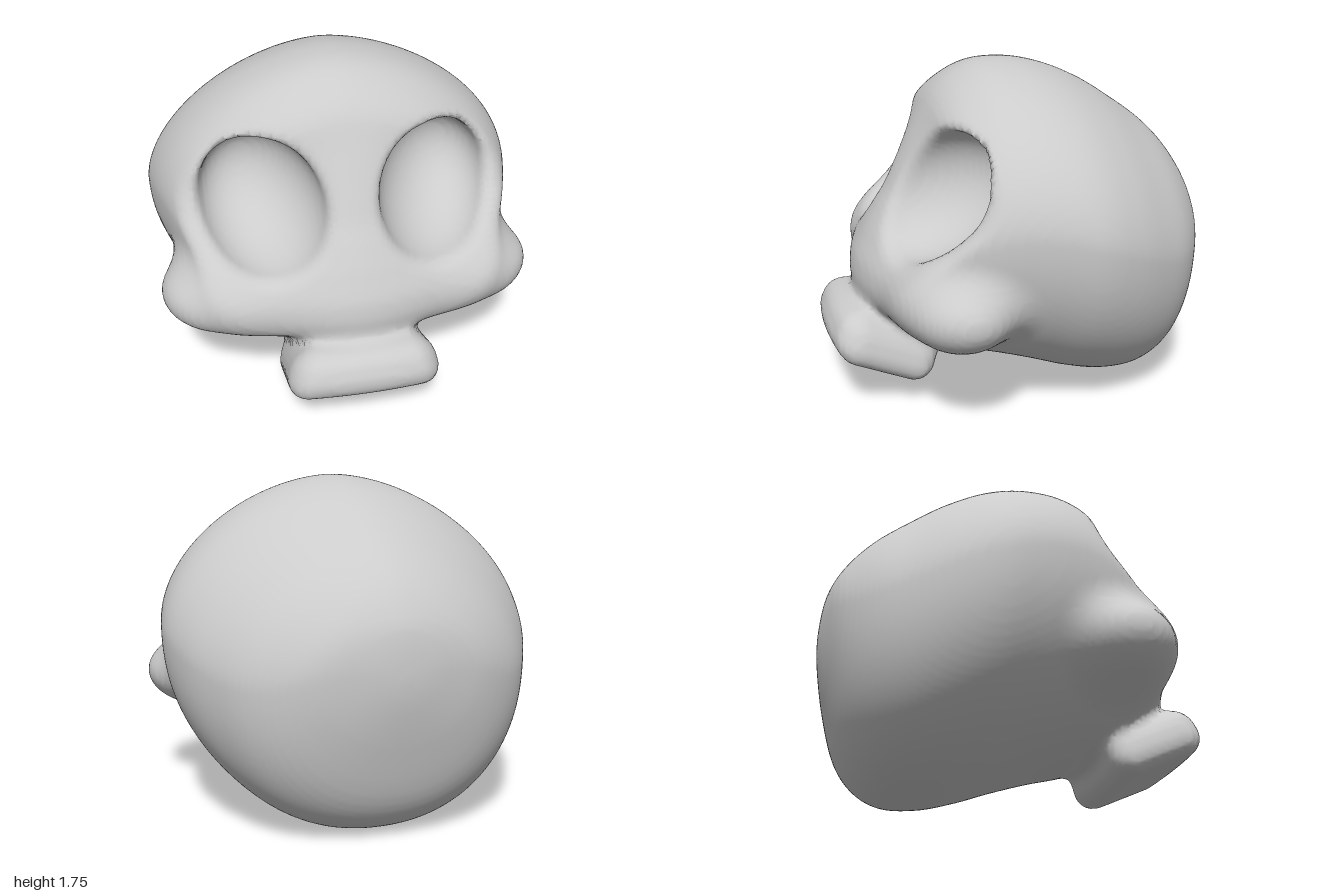
import * as THREE from 'three';

// Cranium sections, back to front: z, top, bottom, half width
const SECTIONS = [
  [-1, 0.85, 0.85, 0], [-0.98, 1.06, 0.66, 0.22], [-0.94, 1.16, 0.48, 0.41],
  [-0.86, 1.28, 0.22, 0.58], [-0.75, 1.39, 0.075, 0.715], [-0.6, 1.5, 0.005, 0.82],
  [-0.4, 1.625, 0.015, 0.92], [-0.2, 1.71, 0.07, 0.97], [0, 1.75, 0.14, 0.95],
  [0.2, 1.73, 0.2, 0.9], [0.4, 1.61, 0.25, 0.83], [0.6, 1.45, 0.32, 0.74],
  [0.8, 1.25, 0.42, 0.66], [1, 1.05, 0.5, 0.6],
].map(([z, ...rest]) => [Math.sqrt(z + 1), ...rest]); // root spacing rounds the back

// Face profiles, bottom to top: y, z on the midline, z at the outer rim
const FACE = [
  [0.15, 0.32, 0.2], [0.3, 0.5, 0.38], [0.45, 0.7, 0.58], [0.57, 0.83, 0.68],
  [0.72, 0.84, 0.7], [0.87, 0.78, 0.61], [1, 0.71, 0.47], [1.1, 0.65, 0.38],
  [1.22, 0.59, 0.33], [1.36, 0.52, 0.34], [1.46, 0.47, 0.36], [1.63, 0.39, 0.36],
  [1.8, 0.34, 0.34],
];

// Smooth interpolation of one table column
function sample(rows, key, col) {
  const n = rows.length - 1;
  if (key <= rows[0][0]) return rows[0][col];
  if (key >= rows[n][0]) return rows[n][col];
  let i = 0;
  while (rows[i + 1][0] < key) i++;
  const slope = (a, b) => (rows[b][col] - rows[a][col]) / (rows[b][0] - rows[a][0]);
  const h = rows[i + 1][0] - rows[i][0], t = (key - rows[i][0]) / h;
  const m0 = slope(Math.max(i - 1, 0), i + 1) * h;
  const m1 = slope(i, Math.min(i + 2, n)) * h;
  const t2 = t * t, t3 = t2 * t;
  return (2 * t3 - 3 * t2 + 1) * rows[i][col] + (t3 - 2 * t2 + t) * m0
    + (3 * t2 - 2 * t3) * rows[i + 1][col] + (t3 - t2) * m1;
}

// Soft union and soft intersection
function blend(a, b, k) {
  const h = Math.max(k - Math.abs(a - b), 0) / k;
  return Math.min(a, b) - h * h * k * 0.25;
}
const carve = (a, b, k) => -blend(-a, -b, k);

// Cranium: slightly peaked above its widest level, fuller below
function cranium(x, y, z) {
  const s = Math.sqrt(Math.max(z + 1, 0.0004));
  const top = sample(SECTIONS, s, 1), bottom = sample(SECTIONS, s, 2);
  const w = sample(SECTIONS, s, 3);
  const mid = bottom + 0.55 * (top - bottom);
  const n = y > mid ? 1.75 : 2.15;
  const dy = Math.abs(y - mid) * w / (y > mid ? top - mid : mid - bottom);
  const r = (x ** n + dy ** n) ** (1 / n);
  return (r * r - w * w + 2.4 * Math.max(0, -1 - z)) / 2;
}

// Sloping front of the face
function faceFront(x, y, z) {
  const t = THREE.MathUtils.smoothstep(x, 0, 0.78);
  return (z - THREE.MathUtils.lerp(sample(FACE, y, 1), sample(FACE, y, 2), t)) * 0.8;
}

// Broad cheekbone that runs back into the side of the cranium
function cheek(x, y, z) {
  return (Math.hypot((x - 0.62) / 0.34, (y - 0.66) / 0.21, (z - 0.43) / 0.28) - 1) * 0.23;
}

// Bowl-shaped eye socket, open to the front
function socket(x, y, z) {
  const start = 0.66 - 0.35 * x + 0.4 * (1.16 - y);
  const depth = Math.min(0, z - start) / 0.36;
  return (Math.hypot((x - 0.435) / 0.305, (y - 1.16) / 0.31, depth) - 1) * 0.28;
}

// Tilted rounded block of the upper jaw, wider at the bottom
function muzzle(x, y, z) {
  const r = 0.12;
  const up = -0.407 * z + 0.913 * y - 0.005;
  const u = Math.abs(0.913 * z + 0.407 * y + 0.3 * x * x - 0.82) - 0.27 + r;
  const v = Math.abs(up) - 0.135 + r;
  const w = x - 0.38 + 0.25 * THREE.MathUtils.clamp(up, -0.15, 0.15) + r;
  return Math.hypot(Math.max(u, 0), Math.max(v, 0), Math.max(w, 0))
    + Math.min(Math.max(u, v, w), 0) - r;
}

// Negative inside the whole skull, positive outside
function skullField(px, y, z) {
  const x = Math.abs(px);
  let d = carve(cranium(x, y, z), faceFront(x, y, z), 0.06);
  d = blend(d, cheek(x, y, z), 0.12);
  d = carve(d, -socket(x, y, z), 0.05);
  return blend(d, muzzle(x, y, z), 0.1);
}

// Skin the zero surface of a field: one vertex per crossed cell, one quad per crossed edge
function skinField(field, origin, counts, step) {
  const strides = [1, counts[0], counts[0] * counts[1]];
  const total = strides[2] * counts[2];
  const point = (id) => strides.map((s, a) => origin[a] + step * (Math.floor(id / s) % counts[a]));
  const values = Float32Array.from({ length: total }, (_, id) => field(...point(id)));
  const positions = [], indices = [], cellVertex = new Map();

  // Pull a point onto the surface along the field's slope
  const settle = (p) => {
    for (let pass = 0; pass < 4; pass++) {
      const f = field(...p);
      const g = p.map((_, a) => {
        const q = [...p];
        q[a] += 0.004;
        return (field(...q) - f) / 0.004;
      });
      const length = Math.hypot(...g) + 1e-6;
      const move = THREE.MathUtils.clamp(f / length, -step / 3, step / 3);
      p = p.map((c, a) => c - g[a] / length * move);
    }
    return p;
  };

  const vertexOf = (cell) => {
    if (!cellVertex.has(cell)) {
      const sum = [0, 0, 0];
      let crossings = 0;
      for (let corner = 0; corner < 8; corner++) {
        const bits = [corner & 1, (corner >> 1) & 1, corner >> 2];
        const from = cell + bits.reduce((n, b, a) => n + b * strides[a], 0);
        for (let a = 0; a < 3; a++) {
          const to = from + strides[a];
          if (bits[a] || (values[from] < 0) === (values[to] < 0)) continue;
          const t = values[from] / (values[from] - values[to]);
          point(from).forEach((c, i) => { sum[i] += c + (i === a ? t * step : 0); });
          crossings++;
        }
      }
      cellVertex.set(cell, positions.length / 3);
      positions.push(...settle(sum.map((c) => c / crossings)));
    }
    return cellVertex.get(cell);
  };

  for (let id = 0; id < total - strides[2]; id++) {
    for (let a = 0; a < 3; a++) {
      const inside = values[id] < 0;
      if (inside === values[id + strides[a]] < 0) continue;
      const b = strides[(a + 1) % 3], c = strides[(a + 2) % 3];
      const quad = [id - b - c, id - c, id, id - b].map(vertexOf);
      if (!inside) quad.reverse();
      indices.push(quad[0], quad[1], quad[2], quad[0], quad[2], quad[3]);
    }
  }

  const geometry = new THREE.BufferGeometry();
  geometry.setAttribute('position', new THREE.Float32BufferAttribute(positions, 3));
  geometry.setIndex(indices);
  geometry.computeVertexNormals();
  return geometry;
}

export function createModel() {
  const group = new THREE.Group();
  group.name = 'skullModel';
  const geometry = skinField(skullField, [-1.05, -0.05, -1.05], [85, 75, 85], 0.025);
  const skull = new THREE.Mesh(geometry, new THREE.MeshStandardMaterial({ color: 0xcccccc }));
  skull.name = 'skull';
  group.add(skull);
  return group;
}
